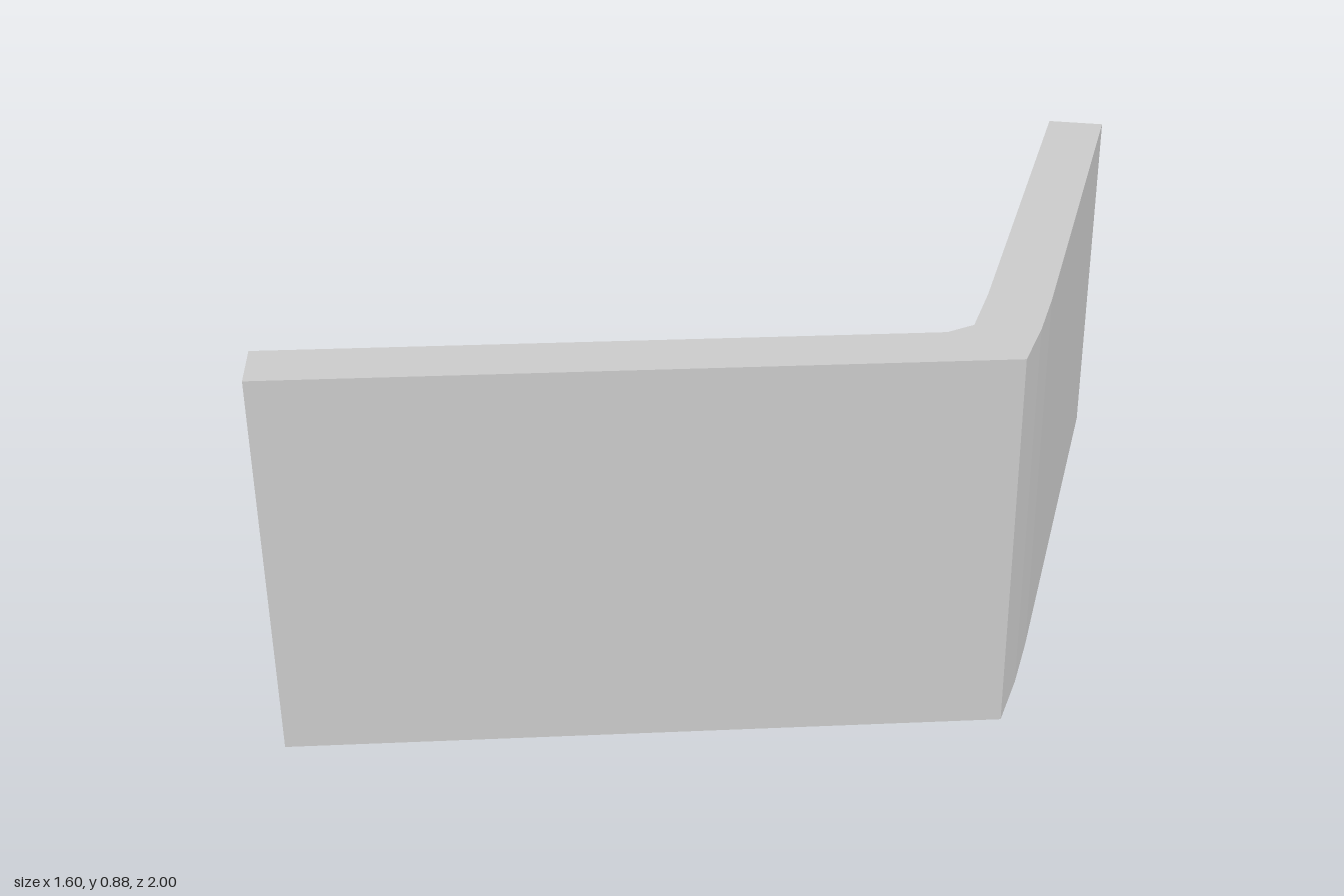
import * as THREE from 'three';

const H = 0.885;
// Plan of the bent wall: [inner x, inner z, outer x, outer z]
const PLAN = [
  [0.66, -0.995, 0.8, -1],
  [0.639, 0.22, 0.777, 0.22],
  [0.63, 0.39, 0.77, 0.38],
  [0.58, 0.44, 0.755, 0.535],
  [0.5, 0.465, 0.545, 0.6],
  [-0.8, 0.865, -0.75, 1],
];
// Stepped recess: [height of step, depth as a fraction of the wall thickness]
const STEPS = [[0.04, 0.09], [0.08, 0.18], [0.12, 0.27], [0.15, 0.36]];

// Closed cross-section as [depth, y], from inner bottom over the top to outer bottom
function section() {
  const low = [[0, 0]];
  let depth = 0;
  for (const [y, d] of STEPS) {
    low.push([depth, y], [d, y]);
    depth = d;
  }
  const high = low.map(([d, y]) => [d, H - y]).reverse();
  return [...low, ...high, [1, H], [1, 0]];
}

function wallGeometry() {
  // Running length of the inner face at each plan corner
  const len = [0];
  for (let i = 1; i < PLAN.length; i++) {
    len.push(len[i - 1] + Math.hypot(PLAN[i][0] - PLAN[i - 1][0], PLAN[i][1] - PLAN[i - 1][1]));
  }
  const total = len[len.length - 1];
  const planAt = (s) => {
    let i = 1;
    while (i < PLAN.length - 1 && s > len[i]) i++;
    const t = (s - len[i - 1]) / (len[i] - len[i - 1]);
    return PLAN[i].map((v, k) => THREE.MathUtils.lerp(PLAN[i - 1][k], v, t));
  };

  // Stations along the wall; ribs and ends return to the full thickness
  const half = 0.006;
  const stations = len.slice(1, -1).map((s) => ({ s, flat: [false] }));
  stations.push({ s: 0, flat: [true] }, { s: 2 * half, flat: [true, false] });
  stations.push({ s: total - 2 * half, flat: [false, true] }, { s: total, flat: [true] });
  for (let k = 0; k < 9; k++) {
    for (const s of [0.15 * (k + 1), len[3] + 0.158 + 0.143 * k]) {
      stations.push({ s: s - half, flat: [false, true] }, { s: s + half, flat: [true, false] });
    }
  }
  stations.sort((a, b) => a.s - b.s);

  const profile = section();
  const rings = [];
  for (const { s, flat } of stations) {
    const [ix, iz, ox, oz] = planAt(s);
    for (const full of flat) {
      rings.push(profile.map(([d, y]) => {
        const f = full && d < 1 ? 0 : d;
        return new THREE.Vector3(ix + (ox - ix) * f, y, iz + (oz - iz) * f);
      }));
    }
  }

  // Skin between neighbouring rings, leaving out empty triangles
  const pos = [];
  const tri = (a, b, c) => {
    if (new THREE.Triangle(a, b, c).getArea() < 1e-9) return;
    for (const p of [a, b, c]) pos.push(p.x, p.y, p.z);
  };
  const n = profile.length;
  for (let i = 0; i < rings.length - 1; i++) {
    for (let j = 0; j < n; j++) {
      const k = (j + 1) % n;
      const [a, b, c, d] = [rings[i][j], rings[i + 1][j], rings[i + 1][k], rings[i][k]];
      tri(a, b, c);
      tri(a, c, d);
    }
  }

  // Flat end faces
  const corners = (r) => [r[0], r[n - 3], r[n - 2], r[n - 1]];
  const ends = [corners(rings[0]), corners(rings[rings.length - 1]).reverse()];
  for (const [a, b, c, d] of ends) {
    tri(a, b, c);
    tri(a, c, d);
  }

  const geo = new THREE.BufferGeometry();
  geo.setAttribute('position', new THREE.Float32BufferAttribute(pos, 3));
  geo.computeVertexNormals();
  return geo;
}

export function createModel() {
  const group = new THREE.Group();
  group.name = 'cornerWall';
  const material = new THREE.MeshStandardMaterial({ color: 0xcccccc, flatShading: true });
  const wall = new THREE.Mesh(wallGeometry(), material);
  wall.name = 'ribbedWall';
  group.add(wall);
  return group;
}
